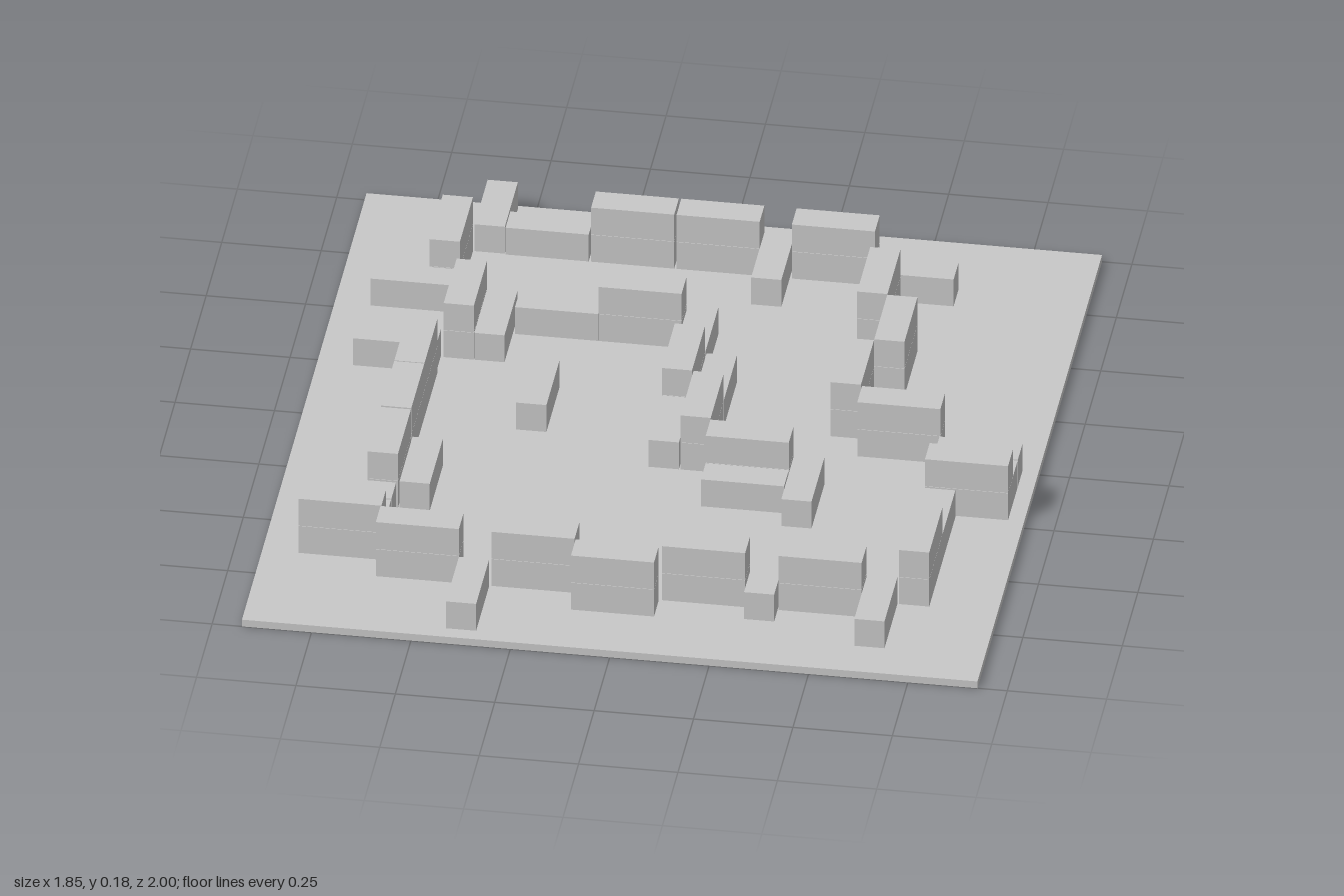
import * as THREE from 'three';

const LENGTH = 0.209, WIDTH = 0.076, COURSE = 0.08, BASE = 0.02;

// Each brick: [centre x, centre z, courses high]
const alongX = [
  // back wall
  [-0.435, -0.81, 1], [-0.22, -0.81, 2], [-0.005, -0.81, 2], [0.285, -0.81, 2], [0.493, -0.745, 1],
  // left wall
  [0.573, -0.022, 2], [0.78, 0.055, 1], [0.78, 0.135, 1], [0.78, 0.213, 2],
  // front wall
  [0.49, 0.712, 2], [0.197, 0.712, 2], [-0.02, 0.79, 2], [-0.232, 0.712, 2], [-0.523, 0.712, 2],
  // right wall
  [-0.73, 0.635, 2], [-0.73, 0.555, 1], [-0.73, 0.475, 1], [-0.73, -0.245, 1], [-0.73, -0.525, 1],
  // inner wall
  [-0.355, -0.45, 1], [-0.145, -0.45, 2], [0.225, 0.19, 2], [0.225, 0.267, 1],
];
const alongZ = [
  // back wall
  [-0.58, -0.88, 1], [0.137, -0.743, 1],
  // left wall
  [0.427, -0.595, 2], [0.503, -0.383, 2], [0.427, -0.17, 2], [0.715, 0.362, 1], [0.715, 0.572, 2],
  // front wall
  [0.635, 0.78, 1], [0.345, 0.7, 1], [-0.38, 0.857, 1],
  // right wall
  [-0.58, 0.325, 1], [-0.66, 0.325, 2], [-0.66, 0.11, 2], [-0.66, -0.102, 2], [-0.66, -0.67, 2],
  [-0.58, -0.383, 2],
  // inner wall and lone brick
  [-0.503, -0.383, 1], [0.002, -0.383, 1], [0.002, -0.17, 2], [0.082, -0.17, 1],
  [0.002, 0.04, 1], [0.082, 0.04, 2], [0.37, 0.26, 1], [-0.35, -0.08, 1],
];

export function createModel() {
  const model = new THREE.Group();
  model.name = 'brickMaze';
  const grey = new THREE.MeshStandardMaterial({ color: 0xc8c8c8 });
  grey.name = 'lightGrey';

  // Thin ground slab
  const slab = new THREE.Mesh(new THREE.BoxGeometry(1.85, BASE, 2), grey);
  slab.name = 'basePlate';
  slab.position.y = BASE / 2;
  model.add(slab);

  // Bricks stacked one or two courses high
  const brick = new THREE.BoxGeometry(LENGTH, COURSE - 0.001, WIDTH);
  const addBricks = (list, angle, name) => {
    const group = new THREE.Group();
    group.name = name;
    for (const [x, z, courses] of list) {
      for (let i = 0; i < courses; i++) {
        const mesh = new THREE.Mesh(brick, grey);
        mesh.name = i ? 'upperBrick' : 'lowerBrick';
        mesh.position.set(x, BASE + COURSE * (i + 0.5), z);
        mesh.rotation.y = angle;
        group.add(mesh);
      }
    }
    model.add(group);
  };
  addBricks(alongX, 0, 'crosswiseBricks');
  addBricks(alongZ, Math.PI / 2, 'lengthwiseBricks');
  return model;
}
